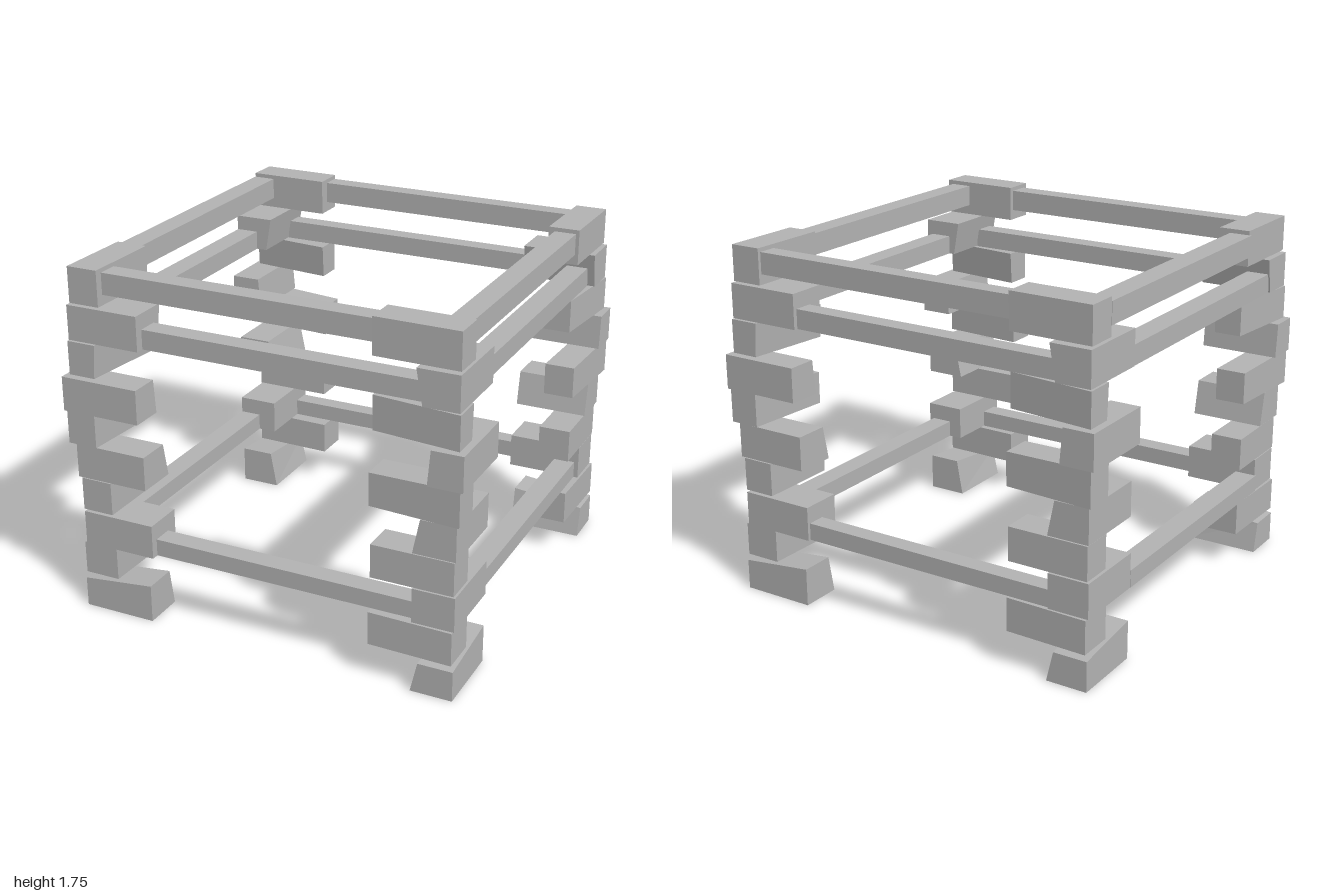
import * as THREE from 'three';

// Stacked blocks of one corner, bottom to top; they alternate in direction.
// len: inner and outer end along the block, side: inner and outer face,
// lean: inner face shift [bottom, top], drop: outer end top height change,
// yaw: sideways shift of the inner end
const BLOCKS = [
  { len: [0.60, 0.97], side: [0.78, 0.965], y: [0, 0.19], lean: [-0.02, 0.015], drop: -0.04 },
  { len: [0.545, 0.955], side: [0.79, 0.97], y: [0.18, 0.345], yaw: -0.01 },
  { len: [0.58, 0.955], side: [0.755, 0.96], y: [0.345, 0.515] },
  { len: [0.555, 0.955], side: [0.80, 0.96], y: [0.525, 0.69] },
  { len: [0.60, 0.97], side: [0.78, 0.965], y: [0.70, 0.87], lean: [-0.02, 0.015] },
  { len: [0.55, 0.985], side: [0.845, 0.995], y: [0.88, 1.04], drop: 0.015, yaw: -0.03 },
  { len: [0.60, 1.0], side: [0.84, 1.0], y: [1.05, 1.22], lean: [-0.005, 0.01] },
  { len: [0.55, 0.97], side: [0.83, 0.975], y: [1.225, 1.39], lean: [0.01, 0], yaw: -0.045 },
  { len: [0.60, 0.97], side: [0.78, 0.965], y: [1.395, 1.565], lean: [0.015, -0.015] },
  { len: [0.555, 0.96], side: [0.80, 0.955], y: [1.575, 1.75], yaw: -0.005 },
];

// Rails between corners: x range and y range
const RAILS = [
  { x: [-0.58, 0.76], y: [0.345, 0.43] },
  { x: [-0.60, 0.79], y: [1.395, 1.49] },
  { x: [-0.80, 0.56], y: [1.625, 1.73] },
];
// Rail depth differs a little on each side
const RAIL_DEPTHS = [[0.82, 0.922], [0.825, 0.933], [0.853, 0.944], [0.85, 0.962]];

// Rough block made by moving the corners of a box
function blockGeometry({ len, side, y, lean = [0, 0], drop = 0, yaw = 0 }, alongX) {
  const geo = new THREE.BoxGeometry(1, 1, 1);
  const p = geo.attributes.position;
  for (let i = 0; i < p.count; i++) {
    const l = (alongX ? p.getX(i) : p.getZ(i)) > 0 ? 1 : 0;
    const s = (alongX ? p.getZ(i) : p.getX(i)) > 0 ? 1 : 0;
    const t = p.getY(i) > 0 ? 1 : 0;
    const across = side[s] + (s ? 0 : lean[t]) + (l ? 0 : yaw);
    const up = y[t] + (l && t ? drop : 0);
    p.setXYZ(i, alongX ? len[l] : across, up, alongX ? across : len[l]);
  }
  const flat = geo.toNonIndexed();
  flat.computeVertexNormals();
  return flat;
}

function railGeometry({ x, y }, z) {
  const geo = new THREE.BoxGeometry(x[1] - x[0], y[1] - y[0], z[1] - z[0]);
  return geo.translate((x[0] + x[1]) / 2, (y[0] + y[1]) / 2, (z[0] + z[1]) / 2);
}

export function createModel() {
  const model = new THREE.Group();
  model.name = 'blockFrame';
  const grey = new THREE.MeshStandardMaterial({ color: 0xb4b4b4 });
  grey.name = 'grey';

  const blocks = BLOCKS.map((b, i) => blockGeometry(b, i % 2 === 1));

  // Four equal sides turned about the centre
  RAIL_DEPTHS.forEach((depth, k) => {
    const quarter = new THREE.Group();
    quarter.name = `side${k + 1}`;
    quarter.rotation.y = k * Math.PI / 2;

    const column = new THREE.Group();
    column.name = 'cornerStack';
    blocks.forEach((geo, i) => {
      const mesh = new THREE.Mesh(geo, grey);
      mesh.name = `block${i + 1}`;
      column.add(mesh);
    });
    quarter.add(column);

    RAILS.forEach((r, i) => {
      const rail = new THREE.Mesh(railGeometry(r, depth), grey);
      rail.name = ['lowerRail', 'middleRail', 'topRail'][i];
      quarter.add(rail);
    });
    model.add(quarter);
  });
  return model;
}
